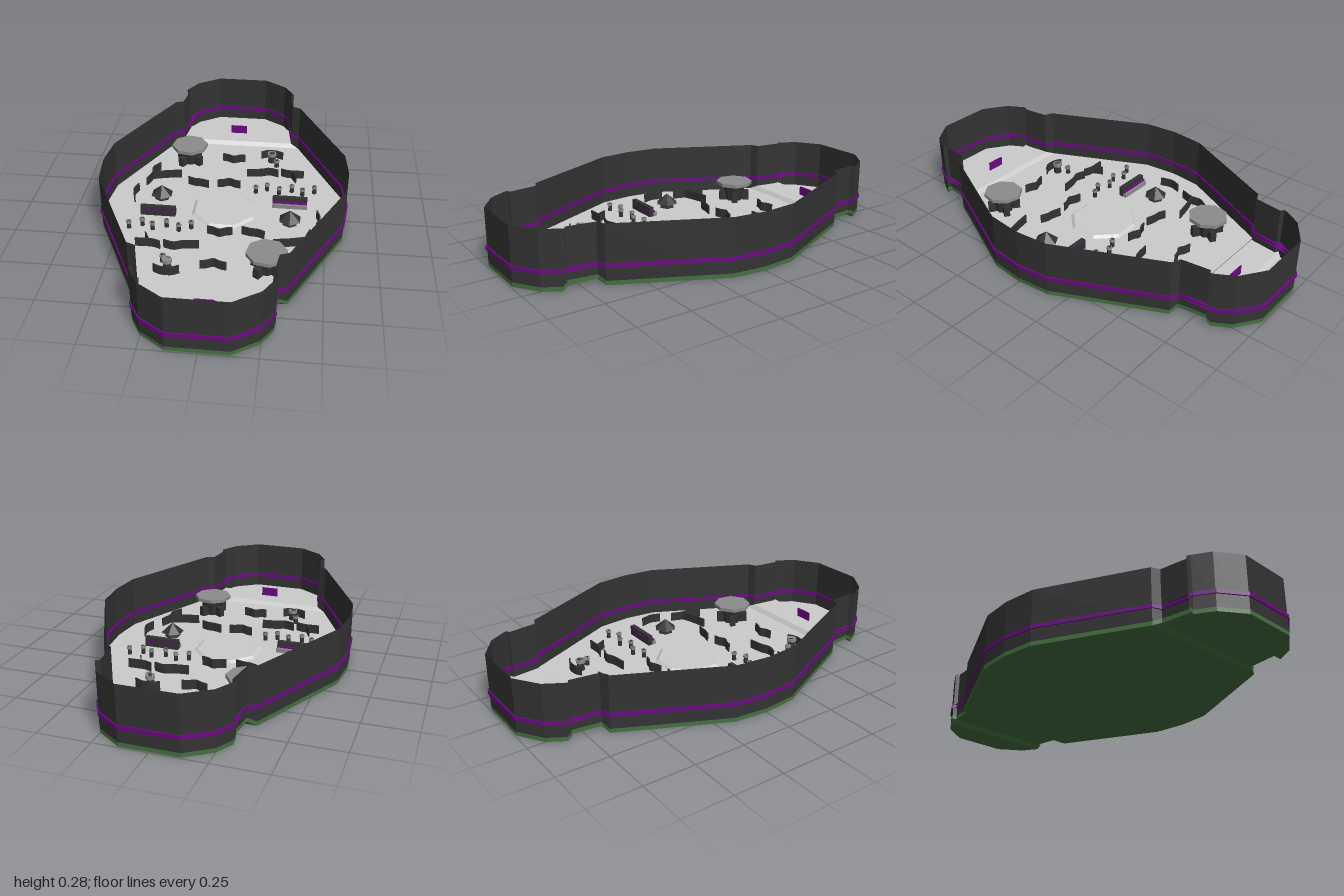
import * as THREE from 'three';
import { mergeGeometries } from 'three/addons/utils/BufferGeometryUtils.js';

const mat = (color) => new THREE.MeshStandardMaterial({ color, flatShading: true, side: THREE.DoubleSide });
const GREY = mat(0xcccccc), DARK = mat(0x333333), GREEN = mat(0x44703f), PURPLE = mat(0x6a0a80), MID = mat(0x8c8c8c);
const FLOOR = 0.024, TOP = 0.278;

// Hull stations for the back half: z, half width, lift of the floor
const half = [
  [-0.993, 0.135, 0], [-0.915, 0.25, 0], [-0.835, 0.297, 0], [-0.82, 0.304, 0.02], [-0.81, 0.286, 0.02],
  [-0.674, 0.304, 0.02], [-0.657, 0.345, 0], [-0.165, 0.583, 0], [0, 0.6, 0],
];
const stations = [...half, ...half.slice(0, -1).reverse().map(([z, w, y]) => [-z, w, y])];
const ring = [...stations, ...[...stations].reverse().map(([z, w, y]) => [z, -w, y])];

function quads(list) {
  const pos = [];
  for (const [a, b, c, d] of list) pos.push(...a, ...b, ...c, ...a, ...c, ...d);
  const g = new THREE.BufferGeometry();
  g.setAttribute('position', new THREE.Float32BufferAttribute(pos, 3));
  g.computeVertexNormals();
  return g;
}

// Horizontal deck following the stations
function deck(height, up) {
  return quads(stations.slice(1).map(([z1, w1, y1], i) => {
    const [z0, w0, y0] = stations[i];
    const q = [[-w0, y0 + height, z0], [-w1, y1 + height, z1], [w1, y1 + height, z1], [w0, y0 + height, z0]];
    return up ? q : q.reverse();
  }));
}

// Vertical band around the hull
function band(bottom, top) {
  return quads(ring.map(([z0, x0, l0], i) => {
    const [z1, x1, l1] = ring[(i + 1) % ring.length];
    return [[x0, bottom(l0), z0], [x0, top(l0), z0], [x1, top(l1), z1], [x1, bottom(l1), z1]];
  }));
}

function add(parent, name, geometry, material, x = 0, y = 0, z = 0) {
  const m = new THREE.Mesh(geometry, material);
  m.name = name;
  m.position.set(x, y, z);
  parent.add(m);
  return m;
}

// Purple trim ring that shows on both faces of the wall
function trimGeometry() {
  const outline = (d) => ring.map(([z, x]) => new THREE.Vector2(x * (1 + d / 0.6), -z * (1 + d / 0.993)));
  const shape = new THREE.Shape(outline(0.007));
  shape.holes.push(new THREE.Path(outline(-0.007)));
  return new THREE.ExtrudeGeometry(shape, { depth: 0.018, bevelEnabled: false })
    .rotateX(-Math.PI / 2).translate(0, 0.081, 0);
}

// Thin upright wall along a smooth path of [x, z] points
function lowWall(points, height = 0.045) {
  const curve = new THREE.CatmullRomCurve3(points.map(([x, z]) => new THREE.Vector3(x, 0, z)));
  const p = curve.getPoints(points.length * 2);
  return mergeGeometries(p.slice(1).map((b, i) => {
    const a = p[i];
    return new THREE.BoxGeometry(a.distanceTo(b) + 0.001, height, 0.006)
      .rotateY(-Math.atan2(b.z - a.z, b.x - a.x))
      .translate((a.x + b.x) / 2, FLOOR + height / 2, (a.z + b.z) / 2);
  }));
}

const wallPaths = [
  [[-0.06, -0.482], [-0.03, -0.475], [0, -0.46], [0.03, -0.475], [0.06, -0.482]],
  [[-0.06, -0.208], [-0.03, -0.215], [0, -0.23], [0.03, -0.215], [0.06, -0.208]],
  [[0.148, -0.525], [0.18, -0.542], [0.23, -0.542], [0.265, -0.525]],
  [[0.085, -0.33], [0.16, -0.34], [0.2, -0.355], [0.25, -0.34]],
  [[0.265, -0.355], [0.3, -0.342], [0.385, -0.342]],
  [[0.32, -0.342], [0.345, -0.29]],
  [[-0.215, -0.225], [-0.18, -0.21], [-0.15, -0.208], [-0.105, -0.195]],
  [[-0.385, -0.35], [-0.415, -0.3], [-0.41, -0.25], [-0.43, -0.185]],
  [[-0.41, -0.25], [-0.34, -0.27], [-0.26, -0.285]],
  [[-0.46, -0.13], [-0.475, -0.08], [-0.46, -0.02]],
];

// Capped post made of a stem and a wider lid
function post(parent, x, z, r, h) {
  const g = new THREE.Group();
  g.name = 'post';
  g.position.set(x, FLOOR, z);
  add(g, 'postStem', new THREE.CylinderGeometry(r * 0.7, r * 0.85, h, 8), DARK, 0, h / 2, 0);
  add(g, 'postCap', new THREE.CylinderGeometry(r, r, h * 0.3, 8), MID, 0, h * 0.85, 0);
  parent.add(g);
}

// Everything standing on one half of the floor
function createObstacles() {
  const g = new THREE.Group();
  g.name = 'obstacles';
  wallPaths.forEach((path) => add(g, 'lowWall', lowWall(path), DARK));

  // Octagonal table tower
  const tower = new THREE.Group();
  tower.name = 'tower';
  tower.position.set(-0.24, 0, -0.46);
  tower.rotation.y = 0.2;
  add(tower, 'towerTop', new THREE.CylinderGeometry(0.096, 0.096, 0.018, 8), MID, 0, 0.12, 0);
  add(tower, 'towerColumn', new THREE.CylinderGeometry(0.06, 0.045, 0.09, 8), DARK, 0, 0.067, 0);
  for (let i = 0; i < 4; i++) {
    const leg = add(tower, 'towerLeg', new THREE.BoxGeometry(0.035, 0.05, 0.03), DARK);
    const a = i * Math.PI / 2 + Math.PI / 4;
    leg.position.set(Math.cos(a) * 0.062, FLOOR + 0.025, Math.sin(a) * 0.062);
    leg.rotation.y = -a;
  }
  g.add(tower);

  // Hexagonal spire
  add(g, 'spireBase', new THREE.CylinderGeometry(0.035, 0.04, 0.025, 6), DARK, -0.33, FLOOR + 0.012, -0.08);
  add(g, 'spire', new THREE.ConeGeometry(0.058, 0.05, 6), DARK, -0.33, FLOOR + 0.048, -0.08);

  // Barricade with a lit ledge
  const b = new THREE.Group();
  b.name = 'barricade';
  b.position.set(0.323, FLOOR, -0.065);
  add(b, 'barricadeWall', new THREE.BoxGeometry(0.174, 0.05, 0.024), DARK, 0, 0.025, -0.01);
  add(b, 'barricadeLedge', new THREE.BoxGeometry(0.174, 0.022, 0.02), MID, 0, 0.011, 0.012);
  add(b, 'barricadeStripe', new THREE.BoxGeometry(0.174, 0.008, 0.012), PURPLE, 0, 0.026, 0.006);
  for (const x of [-0.05, 0, 0.05])
    add(b, 'barricadeSlot', new THREE.BoxGeometry(0.025, 0.012, 0.003), PURPLE, x, 0.032, -0.023);
  g.add(b);

  // Posts
  [0.143, 0.2, 0.264, 0.328, 0.383, 0.444].forEach((x, i) => post(g, x, i % 2 ? -0.203 : -0.175, 0.013, 0.042));
  post(g, 0.206, -0.498, 0.024, 0.055);
  post(g, 0.235, -0.448, 0.015, 0.04);

  // Sign panel on the raised strip
  add(g, 'gatePanel', new THREE.BoxGeometry(0.09, 0.048, 0.005), PURPLE, 0, 0.066, -0.77);
  return g;
}

export function createModel() {
  const model = new THREE.Group();
  model.name = 'arena';

  // Hull
  add(model, 'floor', deck(FLOOR, true), GREY);
  add(model, 'baseUnderside', deck(0, false), GREEN);
  add(model, 'baseRim', band((l) => l, (l) => l + 0.02), GREEN);
  add(model, 'outerWall', band((l) => l + 0.02, () => TOP), DARK);
  add(model, 'wallTrim', trimGeometry(), PURPLE);

  // Low central platform
  const platform = add(model, 'centrePlatform', new THREE.CylinderGeometry(0.155, 0.17, 0.012, 8), GREY, 0, FLOOR + 0.006, 0);
  platform.rotation.y = Math.PI / 8;

  // The second half is the first turned half a circle
  const back = createObstacles(), front = createObstacles();
  front.rotation.y = Math.PI;
  model.add(back, front);
  return model;
}
